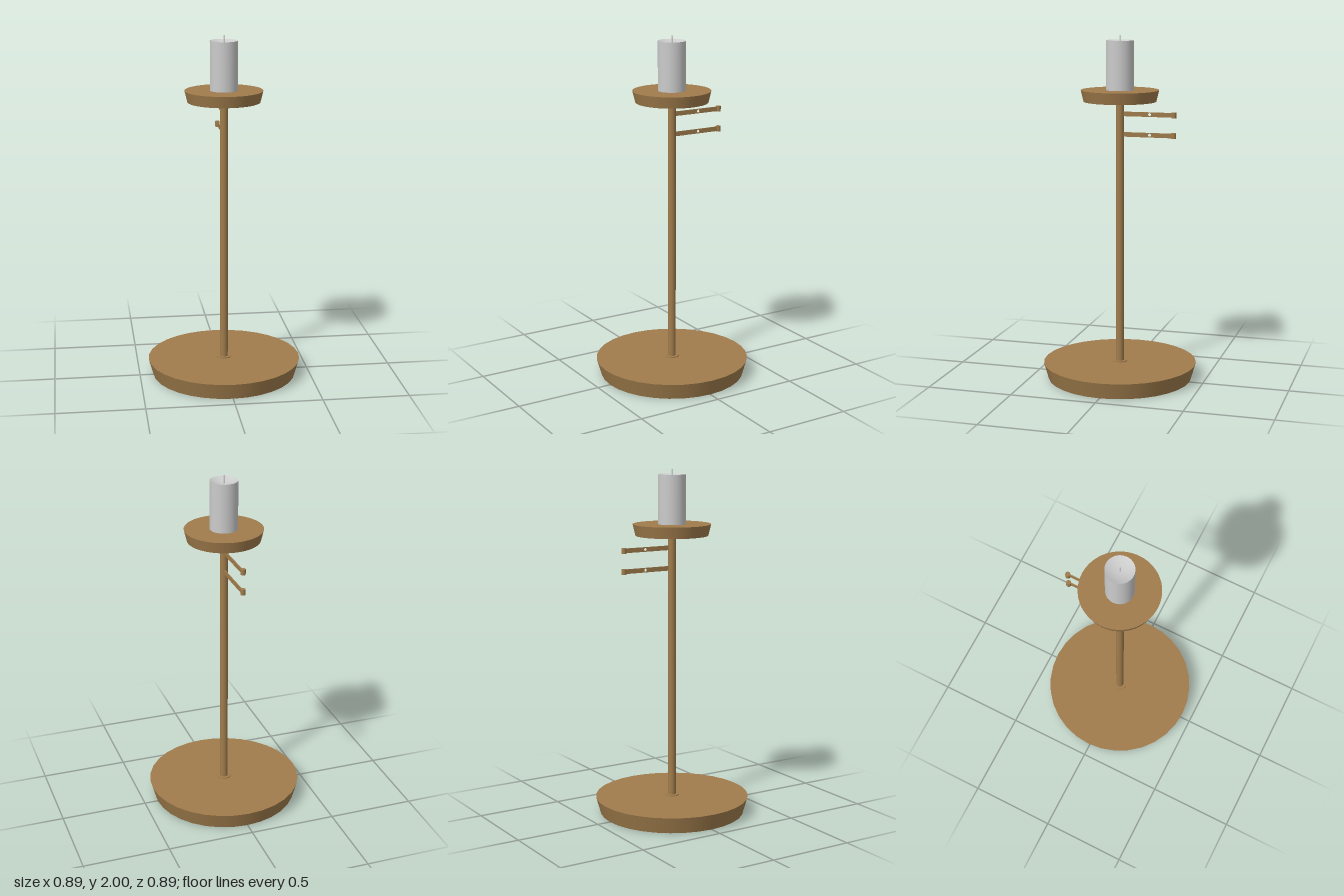
import * as THREE from 'three';

const brass = new THREE.MeshStandardMaterial({ color: 0xa07c4c });
const grey = new THREE.MeshStandardMaterial({ color: 0xcccccc });

export function createModel() {
  const model = new THREE.Group();

  const add = (name, geometry, material, x = 0, y = 0, z = 0) => {
    const mesh = new THREE.Mesh(geometry, material);
    mesh.name = name;
    mesh.position.set(x, y, z);
    model.add(mesh);
    return mesh;
  };

  // Round part standing between two heights
  const round = (name, rTop, rBottom, y0, y1, sides, material = brass, z = 0) =>
    add(name, new THREE.CylinderGeometry(rTop, rBottom, y1 - y0, sides), material, 0, (y0 + y1) / 2, z);

  // Stand: flared foot, collar, pole and drip tray
  round('base', 0.447, 0.42, 0, 0.095, 32);
  round('collar', 0.042, 0.042, 0.09, 0.1, 32);
  round('pole', 0.023, 0.023, 0.095, 1.63, 24);
  round('tray', 0.223, 0.207, 1.625, 1.69, 48);

  // Candle with a dished top: side wall and hollow kept separate for a crisp rim
  add('candleWall', new THREE.LatheGeometry([
    new THREE.Vector2(0.079, 1.685),
    new THREE.Vector2(0.079, 1.97),
  ], 40), grey);
  const dish = [];
  for (let i = 0; i <= 6; i++) {
    const t = i / 6;
    dish.push(new THREE.Vector2(0.079 * (1 - t), 1.97 - 0.02 * (1 - (1 - t) ** 2)));
  }
  add('candleTop', new THREE.LatheGeometry(dish, 40), grey);
  round('wick', 0.0025, 0.0025, 1.945, 2, 8, grey);

  // Flat arm profile with a small eyelet, drawn as distance behind the pole
  const profile = new THREE.Shape();
  profile.moveTo(0.015, -0.013);
  profile.lineTo(0.305, -0.013);
  profile.lineTo(0.305, 0.013);
  profile.lineTo(0.015, 0.013);
  profile.closePath();
  const eyelet = new THREE.Path();
  eyelet.absarc(0.175, 0, 0.009, 0, Math.PI * 2, true);
  profile.holes.push(eyelet);
  const armGeometry = new THREE.ExtrudeGeometry(profile, { depth: 0.006, bevelEnabled: false, curveSegments: 12 });
  armGeometry.rotateY(Math.PI / 2);

  // Two hanging arms at the back, each ending in an upright knob
  for (const [label, y] of [['upper', 1.555], ['lower', 1.438]]) {
    add(label + 'Arm', armGeometry, brass, 0, y, 0);
    round(label + 'ArmKnob', 0.014, 0.014, y - 0.016, y + 0.016, 20, brass, -0.315);
  }

  return model;
}
